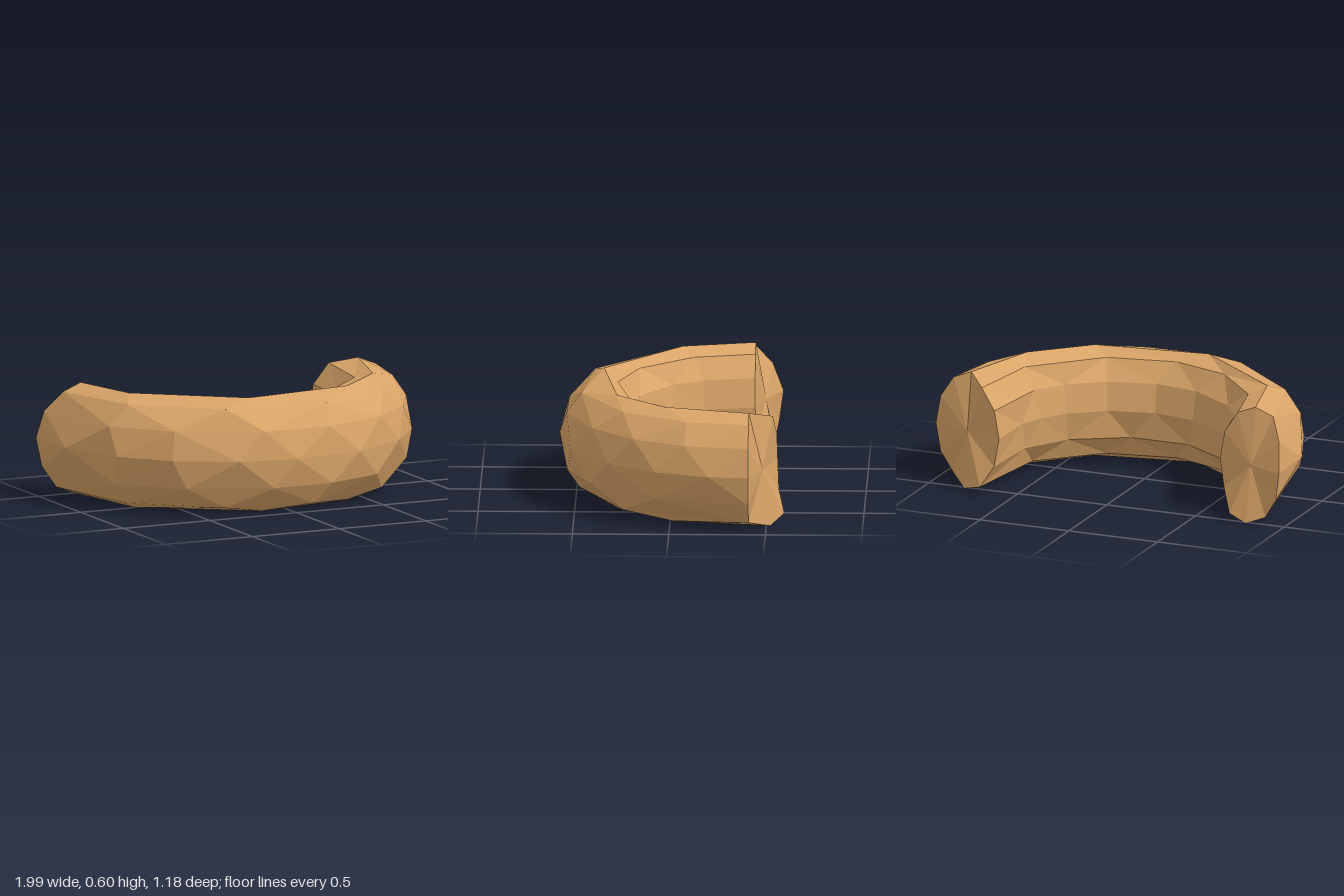
import * as THREE from 'three';

const material = new THREE.MeshStandardMaterial({ color: 0xd9a468, flatShading: true });

// Angles (degrees) of the vertices along each lengthwise row of the bent tube.
// Row 0 runs along the outside, then over the top, the inside and the bottom.
const rows = [
  [0, 12, 29, 47, 69, 92, 110, 130, 148, 169, 188],
  [0, 20, 38, 57, 80, 102, 130, 152, 185],
  [0, 21, 47, 78, 114, 148, 180],
  [0, 33, 60, 105, 152, 180],
  [-10, 26, 64, 95, 122, 153, 180],
  [-13, 26, 43, 64, 88, 110, 138, 155, 180],
  [-14, 15, 28, 43, 64, 88, 110, 138, 154, 180],
  [-14, 20, 45, 75, 105, 140, 181],
  [-15, 30, 64, 95, 125, 155, 188],
  [-8, 30, 60, 100, 150, 188],
  [0, 47, 83, 114, 149, 186],
  [0, 30, 59, 79, 99, 126, 150, 187],
];

// Point on an upright oval tube bent round a vertical axis
function tubePoint(row, degrees) {
  const a = (row / rows.length) * Math.PI * 2;
  const t = THREE.MathUtils.degToRad(degrees);
  const r = 0.8 + 0.2 * Math.cos(a);
  return new THREE.Vector3(r * Math.cos(t), 0.3 + 0.3 * Math.sin(a), -0.41 + r * Math.sin(t));
}

function makeMesh(name, points) {
  const geometry = new THREE.BufferGeometry().setFromPoints(points);
  geometry.computeVertexNormals();
  const mesh = new THREE.Mesh(geometry, material);
  mesh.name = name;
  return mesh;
}

// Joins two neighbouring rows with triangles, always taking the shorter diagonal
function joinRows(a, b, out) {
  let i = 0, k = 0;
  while (i < a.length - 1 || k < b.length - 1) {
    const stepA = k === b.length - 1 ||
      (i < a.length - 1 && a[i + 1].distanceTo(b[k]) < b[k + 1].distanceTo(a[i]));
    if (stepA) out.push(a[i], b[k], a[++i]);
    else out.push(a[i], b[k], b[++k]);
  }
}

// Closes an end with a fan round its middle
function makeCap(name, rim) {
  const middle = new THREE.Vector3();
  rim.forEach((p) => middle.addScaledVector(p, 1 / rim.length));
  return makeMesh(name, rim.flatMap((p, i) => [middle, p, rim[(i + 1) % rim.length]]));
}

export function createModel() {
  const group = new THREE.Group();
  group.name = 'curvedRoll';
  const lines = rows.map((angles, j) => angles.map((d) => tubePoint(j, d)));

  // Bent body
  const skin = [];
  lines.forEach((line, j) => joinRows(line, lines[(j + 1) % lines.length], skin));
  group.add(makeMesh('bentBody', skin));

  // Cut ends
  group.add(makeCap('leftEnd', lines.map((l) => l[0]).reverse()));
  group.add(makeCap('rightEnd', lines.map((l) => l[l.length - 1])));
  return group;
}
